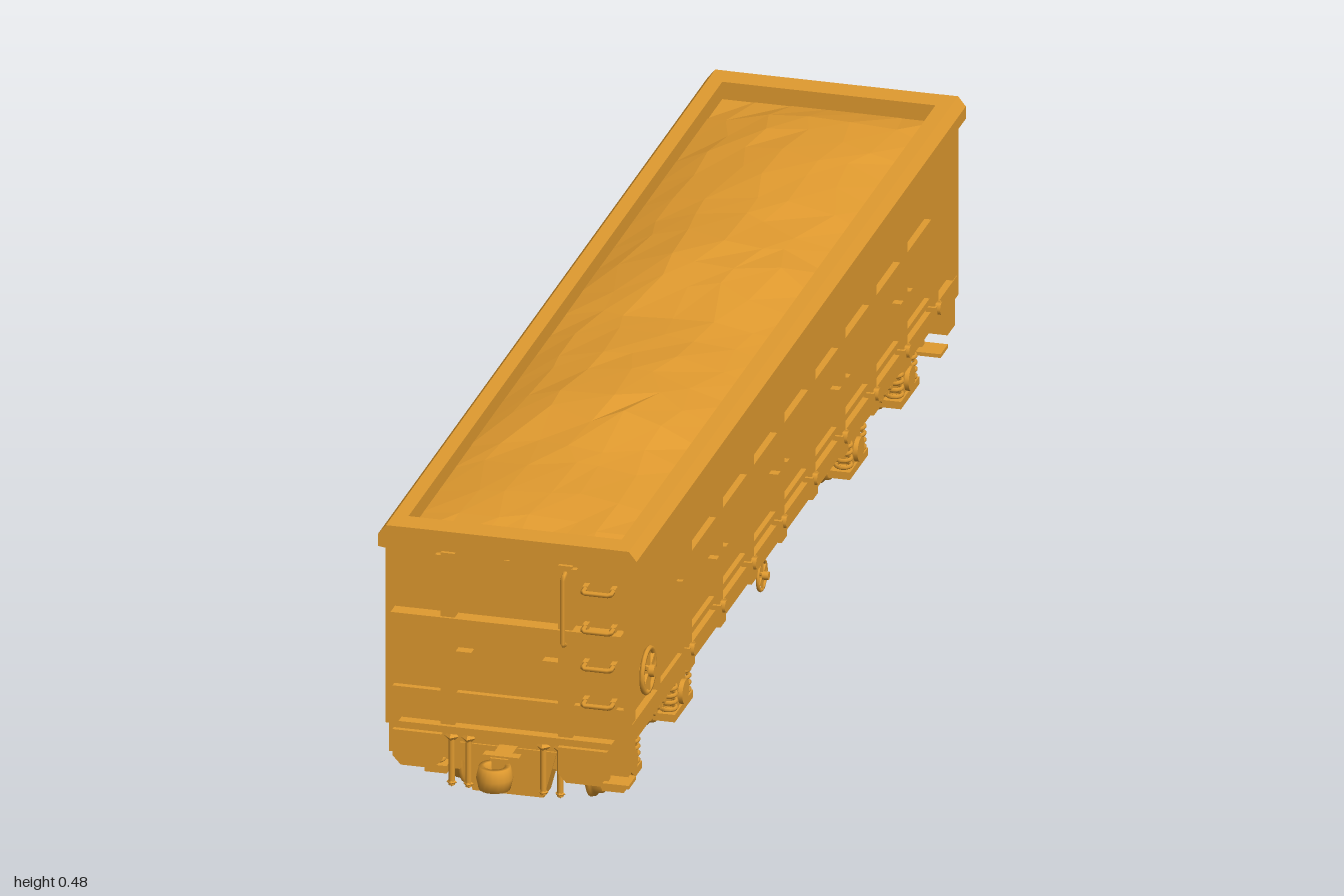
import * as THREE from 'three';

const paint = new THREE.MeshStandardMaterial({ color: 0xe09a2f });
const paintBoth = new THREE.MeshStandardMaterial({ color: 0xe09a2f, side: THREE.DoubleSide });
const loadPaint = new THREE.MeshStandardMaterial({ color: 0xe09a2f, flatShading: true, side: THREE.DoubleSide });
const SIDES = [1, -1];

function add(parent, name, geo, x = 0, y = 0, z = 0, mat = paint) {
  const m = new THREE.Mesh(geo, mat);
  m.name = name;
  m.position.set(x, y, z);
  parent.add(m);
  return m;
}
const box = (p, name, w, h, d, x, y, z) => add(p, name, new THREE.BoxGeometry(w, h, d), x, y, z);
function rod(p, name, axis, r, len, x, y, z, seg = 16, r2 = r) {
  const g = new THREE.CylinderGeometry(r2, r, len, seg);
  if (axis === 'x') g.rotateZ(-Math.PI / 2);
  if (axis === 'z') g.rotateX(Math.PI / 2);
  return add(p, name, g, x, y, z);
}
function prism(points, depth) {
  const s = new THREE.Shape(points.map(([a, b]) => new THREE.Vector2(a, b)));
  return new THREE.ExtrudeGeometry(s, { depth, bevelEnabled: false }).translate(0, 0, -depth / 2);
}
function pipe(p, name, pts, r) {
  const path = new THREE.CurvePath();
  const v = pts.map(a => new THREE.Vector3(...a));
  for (let i = 1; i < v.length; i++) path.add(new THREE.LineCurve3(v[i - 1], v[i]));
  return add(p, name, new THREE.TubeGeometry(path, (v.length - 1) * 6, r, 6), 0, 0, 0, paintBoth);
}
function group(parent, name, x = 0, y = 0, z = 0) {
  const g = new THREE.Group();
  g.name = name;
  g.position.set(x, y, z);
  parent.add(g);
  return g;
}

// Spoked wheel facing +x
function handwheel(parent, name, r, x, y, z) {
  const g = group(parent, name, x, y, z);
  add(g, 'wheelRim', new THREE.TorusGeometry(r, r * 0.12, 6, 20).rotateY(Math.PI / 2));
  for (let i = 0; i < 3; i++) box(g, 'spoke', r * 0.16, r * 2, r * 0.16, 0, 0, 0).rotation.x = i * Math.PI / 3;
  rod(g, 'hub', 'x', r * 0.28, 0.022, 0, 0, 0, 10);
}

// Heaped load: low-poly grid with a ridge along z
function addLoad(parent) {
  let seed = 7;
  const rnd = () => ((seed = (seed * 16807) % 2147483647) / 2147483647) - 0.5;
  const ridge = [[-0.87, 0.44], [-0.8, 0.457], [-0.69, 0.466], [-0.53, 0.471], [-0.34, 0.469], [-0.18, 0.48],
    [0.03, 0.457], [0.2, 0.467], [0.41, 0.477], [0.52, 0.458], [0.7, 0.452], [0.87, 0.438]];
  const crest = z => {
    let i = 1;
    while (i < ridge.length - 1 && z > ridge[i][0]) i++;
    const [a, b] = [ridge[i - 1], ridge[i]];
    return THREE.MathUtils.lerp(a[1], b[1], THREE.MathUtils.clamp((z - a[0]) / (b[0] - a[0]), 0, 1));
  };
  const g = new THREE.PlaneGeometry(0.34, 1.73, 6, 20).rotateX(-Math.PI / 2);
  const p = g.attributes.position;
  for (let i = 0; i < p.count; i++) {
    let x = p.getX(i), z = p.getZ(i), y = 0.432;
    if (Math.abs(x) < 0.165 && Math.abs(z) < 0.86) {
      x += rnd() * 0.035;
      z += rnd() * 0.05;
      y += (crest(z) - 0.432) * (1 - Math.abs(x / 0.17) ** 2.2) + rnd() * 0.005;
    }
    p.setXYZ(i, x, y, z);
  }
  add(parent, 'load', g, 0, 0, 0, loadPaint);
}

// Side wall details, mirrored by sign s
function addSide(parent, s) {
  const g = group(parent, s > 0 ? 'leftSide' : 'rightSide');
  const rail = [[0.165, 0.425], [0.18, 0.422], [0.2, 0.425], [0.2, 0.445], [0.188, 0.46], [0.165, 0.46]];
  add(g, 'topRail', prism(rail.map(([x, y]) => [x * s, y]), 1.805));
  box(g, 'bottomRail', 0.014, 0.03, 1.78, s * 0.183, 0.16, 0);
  const posts = [0.59, 0.42, 0.25, 0.085, -0.085, -0.25, -0.42, -0.59, -0.76];
  posts.forEach((z, i) => {
    box(g, 'sidePost', 0.016, 0.275, 0.02, s * 0.187, 0.287, z);
    box(g, 'postFoot', 0.016, 0.035, 0.03, s * 0.19, 0.165, z);
    rod(g, 'latch', 'x', 0.01, 0.014, s * 0.196, 0.177, z, 6);
    if (i === posts.length - 1) return;
    const mid = (z + posts[i + 1]) / 2, w = z - posts[i + 1] - 0.02;
    box(g, 'sideRib', 0.011, 0.016, w, s * 0.184, 0.315, mid);
    box(g, 'lowerRib', 0.008, 0.01, w, s * 0.183, 0.19, mid);
    box(g, 'ropeHook', 0.012, 0.022, 0.012, s * 0.186, 0.41, mid);
    if (i % 2) for (const k of SIDES) box(g, 'catch', 0.014, 0.03, 0.014, s * 0.19, 0.25, z + k * 0.025);
  });
  for (const z of [0.885, -0.885]) box(g, 'cornerPost', 0.01, 0.29, 0.03, s * 0.184, 0.285, z);
  // Door near the front
  for (const z of [0.615, 0.745]) box(g, 'doorJamb', 0.012, 0.255, 0.012, s * 0.185, 0.292, z);
  for (const y of [0.175, 0.412]) box(g, 'doorBar', 0.012, 0.012, 0.13, s * 0.185, y, 0.68);
  box(g, 'doorPanel', 0.01, 0.215, 0.1, s * 0.182, 0.293, 0.68);
  box(g, 'doorHandle', 0.018, 0.03, 0.008, s * 0.187, 0.29, 0.635);
  handwheel(g, 'brakeWheel', 0.034, s * 0.196, 0.238, 0.825);
  // Deepened sill between the bogies and its small control wheel
  const belly = prism([[-0.88, 0.155], [-0.42, 0.155], [-0.36, 0.13], [0.36, 0.13], [0.42, 0.155], [0.88, 0.155], [0.88, 0.165], [-0.88, 0.165]], 0.012);
  add(g, 'sill', belly.rotateY(-Math.PI / 2), s * 0.172, 0, 0);
  handwheel(g, 'controlWheel', 0.023, s * 0.18, 0.112, 0.145);
  rod(g, 'controlShaft', 'x', 0.006, 0.17, s * 0.1, 0.112, 0.145, 8);
  box(g, 'controlBracket', 0.02, 0.05, 0.02, s * 0.155, 0.13, 0.145);
}

// End wall, headstock, bumpers and coupler, built at +z; ladderSide picks the x of the ladder
function addEnd(parent, name, ladderSide) {
  const g = group(parent, name);
  box(g, 'endRail', 0.37, 0.035, 0.042, 0, 0.4425, 0.881);
  box(g, 'crossBeam', 0.356, 0.02, 0.025, 0, 0.315, 0.9);
  box(g, 'endLowerPanel', 0.37, 0.05, 0.012, 0, 0.175, 0.892);
  box(g, 'headstock', 0.37, 0.063, 0.04, 0, 0.1235, 0.875);
  box(g, 'headstockTop', 0.33, 0.012, 0.03, 0, 0.145, 0.9);
  const apron = [[-0.075, 0.12], [-0.055, 0.045], [0.055, 0.045], [0.075, 0.12]];
  add(g, 'couplerApron', prism(apron, 0.04), 0, 0, 0.878);
  for (const s of SIDES) {
    box(g, 'endPost', 0.022, 0.28, 0.02, s * 0.091, 0.288, 0.898);
    box(g, 'endBracket', 0.024, 0.03, 0.016, s * 0.067, 0.255, 0.898);
    box(g, 'endHook', 0.009, 0.03, 0.016, s * 0.105, 0.41, 0.903);
    // Bumper
    rod(g, 'bumperSleeve', 'z', 0.018, 0.03, s * 0.128, 0.12, 0.908);
    rod(g, 'bumperShank', 'z', 0.012, 0.03, s * 0.128, 0.12, 0.928);
    const plate = [[-0.038, 0.018], [-0.038, 0.03], [0.038, 0.03], [0.038, -0.012], [0.025, -0.026], [-0.025, -0.026], [-0.038, -0.012]];
    add(g, 'bumperPlate', prism(plate, 0.008), s * 0.128, 0.12, 0.941);
    // Brake hoses with faceted taps
    for (const x of [0.058, 0.084]) {
      rod(g, 'brakeHose', 'y', 0.005, 0.075, s * x, 0.093, 0.91, 8);
      add(g, 'hoseTap', new THREE.OctahedronGeometry(0.011), s * x, 0.134, 0.91);
      add(g, 'hoseEnd', new THREE.OctahedronGeometry(0.008), s * x, 0.06, 0.91);
    }
  }
  box(g, 'endHook', 0.009, 0.03, 0.016, 0, 0.41, 0.897);
  // Ladder rungs, grab rail and step
  for (const y of [0.21, 0.27, 0.33, 0.392]) {
    const [a, b] = [ladderSide * 0.12, ladderSide * 0.163];
    pipe(g, 'ladderRung', [[a, y, 0.885], [a, y, 0.918], [b, y, 0.918], [b, y, 0.885]], 0.004);
    for (const x of [a, b]) box(g, 'rungFoot', 0.008, 0.016, 0.016, x, y - 0.004, 0.894);
  }
  const h = ladderSide * 0.091;
  pipe(g, 'grabRail', [[h, 0.3, 0.9], [h, 0.305, 0.922], [h, 0.412, 0.922], [h, 0.418, 0.9]], 0.004);
  box(g, 'stepPlate', 0.07, 0.006, 0.04, ladderSide * 0.145, 0.066, 0.855);
  box(g, 'stepHanger', 0.012, 0.04, 0.012, ladderSide * 0.14, 0.085, 0.86);
  // Coupler shank, head and open hook
  box(g, 'couplerShank', 0.028, 0.035, 0.09, 0, 0.105, 0.905);
  box(g, 'couplerHead', 0.056, 0.045, 0.016, 0.002, 0.103, 0.938);
  const hook = new THREE.TorusGeometry(0.02, 0.008, 6, 14, Math.PI * 1.5).rotateX(Math.PI / 2).rotateY(0.6).scale(1, 2.6, 1);
  add(g, 'couplerHook', hook, 0, 0.103, 0.972);
  return g;
}

function addBogie(parent, z) {
  const g = group(parent, z > 0 ? 'frontBogie' : 'rearBogie', 0, 0, z);
  box(g, 'bolster', 0.25, 0.045, 0.1, 0, 0.1, 0);
  box(g, 'bogieDeck', 0.17, 0.02, 0.33, 0, 0.1, 0);
  rod(g, 'pivot', 'y', 0.04, 0.04, 0, 0.135, 0);
  const frame = [[-0.2, 0.1], [-0.17, 0.112], [-0.09, 0.105], [-0.05, 0.118], [0.05, 0.118], [0.09, 0.105], [0.17, 0.112], [0.2, 0.1],
    [0.2, 0.085], [0.1, 0.083], [0.06, 0.065], [-0.06, 0.065], [-0.1, 0.083], [-0.2, 0.085]];
  const tread = [[0, -0.012], [0.016, -0.012], [0.016, -0.005], [0.042, -0.004], [0.044, -0.008], [0.058, -0.008], [0.057, -0.002],
    [0.052, 0], [0.051, 0.01], [0.043, 0.01], [0.04, 0.004], [0.018, 0.006], [0.016, 0.014], [0, 0.014]];
  for (const s of SIDES) {
    add(g, 'sideFrame', prism(frame, 0.016).rotateY(-Math.PI / 2), s * 0.132, 0, 0);
    box(g, 'frameBoss', 0.014, 0.022, 0.07, s * 0.145, 0.092, 0);
    for (const k of [-0.025, 0, 0.025]) rod(g, 'frameStud', 'x', 0.006, 0.01, s * 0.153, 0.092, k, 8);
  }
  for (const az of [0.14, -0.14]) {
    rod(g, 'axle', 'x', 0.011, 0.27, 0, 0.058, az);
    for (const s of SIDES) {
      const w = new THREE.LatheGeometry(tread.map(([r, h]) => new THREE.Vector2(r, h)), 28).rotateZ(-Math.PI / 2);
      add(g, 'wheel', w, s * 0.103, 0.058, az, paintBoth).rotation.y = s > 0 ? 0 : Math.PI;
      box(g, 'axleBox', 0.03, 0.05, 0.045, s * 0.135, 0.06, az);
      rod(g, 'axleCover', 'x', 0.019, 0.01, s * 0.152, 0.058, az);
      box(g, 'springTray', 0.034, 0.012, 0.1, s * 0.137, 0.034, az);
      // Paired coil springs beside each axle box
      for (const k of SIDES) for (let i = 0; i < 4; i++) {
        const coil = new THREE.TorusGeometry(0.012, 0.0035, 5, 12).rotateX(Math.PI / 2);
        add(g, 'springCoil', coil, s * 0.14, 0.046 + i * 0.011, az + k * 0.036);
      }
    }
  }
  for (const k of [0.2, -0.2]) {
    box(g, 'brakeBeam', 0.23, 0.012, 0.012, 0, 0.065, k);
    for (const s of SIDES) box(g, 'brakeShoe', 0.016, 0.04, 0.012, s * 0.103, 0.065, k);
  }
}

export function createModel() {
  const model = new THREE.Group();
  model.name = 'openWagon';
  box(model, 'body', 0.358, 0.28, 1.776, 0, 0.288, 0);
  addLoad(model);
  SIDES.forEach(s => addSide(model, s));
  addEnd(model, 'frontEnd', 1);
  addEnd(model, 'rearEnd', -1).rotation.y = Math.PI;
  // Underframe
  box(model, 'centreSill', 0.06, 0.03, 1.74, 0, 0.138, 0);
  for (let i = -4; i <= 4; i++) box(model, 'crossMember', 0.34, 0.012, 0.014, 0, 0.144, i * 0.0845);
  rod(model, 'brakePipe', 'z', 0.007, 0.66, 0.1, 0.132, 0, 8);
  // Transverse air tanks with tapered ends
  for (const z of [0.318, -0.318]) {
    rod(model, 'airTank', 'x', 0.036, 0.18, 0, 0.096, z);
    for (const s of SIDES) {
      rod(model, 'tankEnd', 'x', s > 0 ? 0.036 : 0.022, 0.016, s * 0.098, 0.096, z, 16, s > 0 ? 0.022 : 0.036);
      box(model, 'tankStrap', 0.014, 0.04, 0.076, s * 0.055, 0.125, z);
    }
  }
  for (const z of [0.62, -0.62]) addBogie(model, z);
  return model;
}
